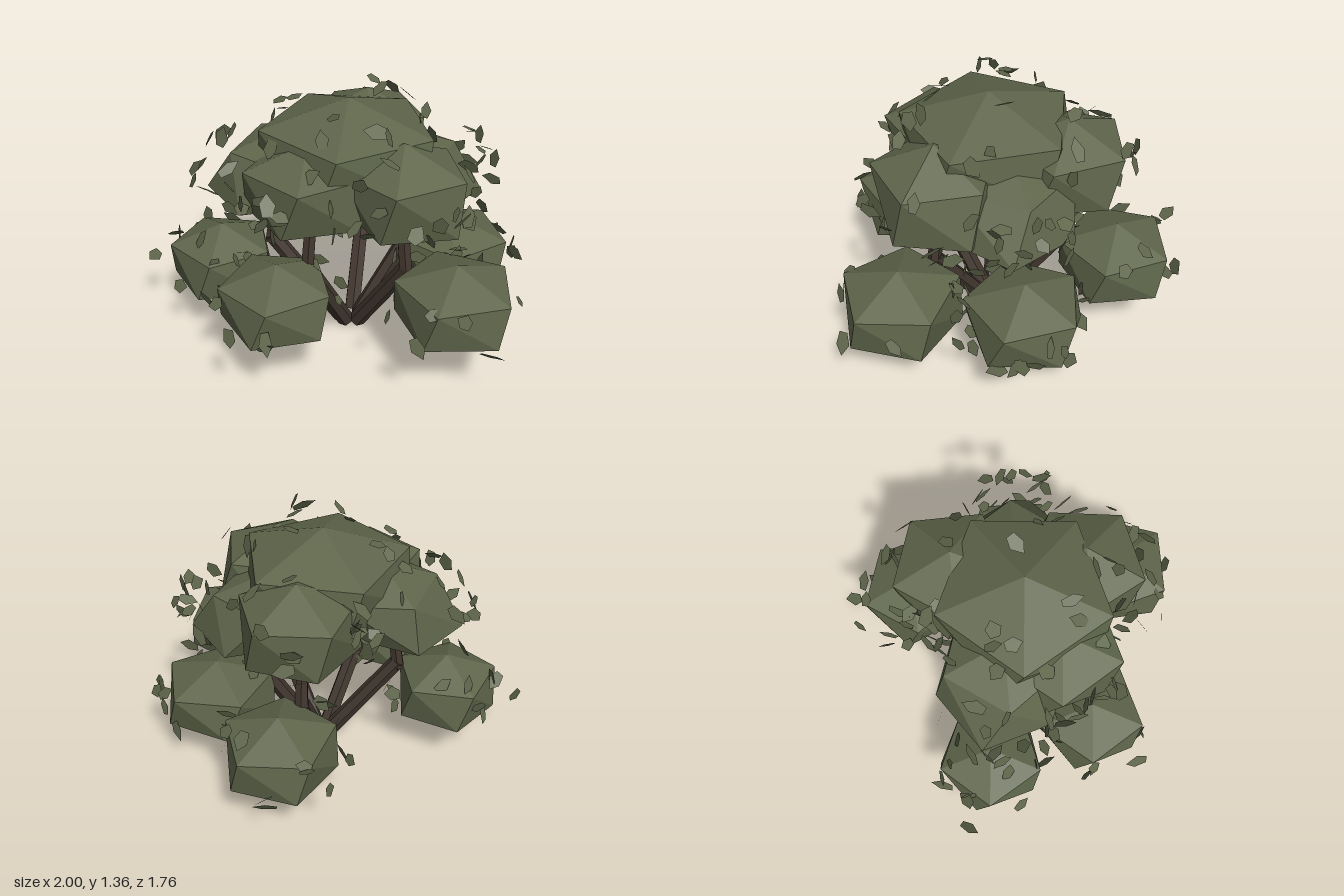
import * as THREE from 'three';

const foliage = new THREE.MeshStandardMaterial({ color: 0x5f664b, flatShading: true, side: THREE.DoubleSide });
foliage.name = 'olive foliage';
const bark = new THREE.MeshStandardMaterial({ color: 0x42372f, flatShading: true });
bark.name = 'dark bark';

// Small seeded generator for leaf placement
let seed = 71;
const rand = () => (seed = (seed * 16807) % 2147483647) / 2147483647;
const spread = (a) => (rand() * 2 - 1) * a;

// Clumps: centre, horizontal and vertical radius, upper ring angle and lower ring twist
// in degrees, and the x, z shift of the upper half
const lowClumps = [
  { c: [-0.59, 0.375, 0.06], r: 0.315, h: 0.21, rot: 97, twist: 16, lean: [0, 0] },
  { c: [-0.27, 0.435, 0.53], r: 0.325, h: 0.205, rot: 96, twist: 16, lean: [0, 0] },
  { c: [0.59, 0.44, 0.54], r: 0.345, h: 0.21, rot: 40, twist: 12, lean: [0, 0] },
  { c: [0.63, 0.375, -0.06], r: 0.345, h: 0.205, rot: -50, twist: 17, lean: [0, 0] },
  { c: [0.25, 0.41, -0.55], r: 0.335, h: 0.21, rot: -126, twist: 14, lean: [0, 0] },
];
const crownClumps = [
  { c: [-0.34, 0.915, 0.05], r: 0.36, h: 0.24, rot: -125, twist: 20, lean: [0.13, 0] },
  { c: [-0.12, 0.92, 0.28], r: 0.36, h: 0.25, rot: 96, twist: 16, lean: [0, 0.03] },
  { c: [0.36, 0.93, 0.33], r: 0.36, h: 0.26, rot: 27, twist: 18, lean: [-0.03, 0.02] },
  { c: [0.44, 0.89, 0.00], r: 0.36, h: 0.225, rot: -15, twist: 15, lean: [-0.13, 0] },
  { c: [0.17, 0.96, -0.27], r: 0.355, h: 0.25, rot: -126, twist: 14, lean: [0, -0.02] },
  { c: [0.07, 1.03, 0.09], r: 0.51, h: 0.28, rot: -119, twist: 12, lean: [0, 0] },
];
const allClumps = [...lowClumps, ...crownClumps];

// Five-sided faceted dome with two rings and pointed poles
function clumpMesh({ c, r, h, rot, twist, lean }, name) {
  const ring = (y, deg, [dx, dz]) => Array.from({ length: 5 }, (_, i) => {
    const a = THREE.MathUtils.degToRad(deg + i * 72);
    return [Math.cos(a) * r * 0.866 + dx, y * h, Math.sin(a) * r * 0.866 + dz];
  });
  const pts = [[lean[0], h, lean[1]], ...ring(0.5, rot, lean), ...ring(-0.5, rot + twist, [0, 0]), [0, -h, 0]];
  const index = [];
  for (let i = 0; i < 5; i++) {
    const a = 1 + i, b = 1 + (i + 1) % 5;
    index.push(0, b, a, a, b, a + 5, b, b + 5, a + 5, 11, a + 5, b + 5);
  }
  const geo = new THREE.BufferGeometry();
  geo.setAttribute('position', new THREE.Float32BufferAttribute(pts.flat(), 3));
  geo.setIndex(index);
  geo.computeVertexNormals();
  const mesh = new THREE.Mesh(geo, foliage);
  mesh.name = name;
  mesh.position.set(...c);
  return mesh;
}

// Irregular flat five-cornered leaf
const leafShape = new THREE.Shape([
  [-0.026, -0.042], [0.018, -0.046], [0.04, 0.004], [0.004, 0.06], [-0.034, 0.018],
].map(([x, y]) => new THREE.Vector2(x, y)));
const leafGeometry = new THREE.ShapeGeometry(leafShape);

function leafAt(position, outward) {
  const leaf = new THREE.Mesh(leafGeometry, foliage);
  leaf.name = 'leaf';
  leaf.position.copy(position);
  leaf.lookAt(position.clone().add(outward));
  leaf.rotateZ(rand() * Math.PI * 2);
  leaf.rotateX(spread(0.9));
  leaf.rotateY(spread(0.9));
  leaf.scale.set(0.7 + rand() * 0.4, 0.75 + rand() * 0.45, 1);
  return leaf;
}

// True where a point is buried inside some clump
const buried = (p) => allClumps.some(({ c, r, h }) =>
  Math.hypot((p.x - c[0]) / r, (p.y - c[1]) / h, (p.z - c[2]) / r) < 0.84);

// Leaves hovering on and just outside each clump
function looseLeaves({ c, r, h }, count) {
  const group = new THREE.Group();
  group.name = 'looseLeaves';
  for (let tries = 0; group.children.length < count && tries < 300; tries++) {
    const a = rand() * Math.PI * 2, up = -0.6 + rand() * 1.5;
    const flat = Math.sqrt(1 - up * up), k = 0.86 + rand() * 0.24;
    const dir = new THREE.Vector3(Math.cos(a) * flat, up, Math.sin(a) * flat);
    const p = new THREE.Vector3(dir.x * r * k + c[0], dir.y * h * k + c[1], dir.z * r * k + c[2]);
    if (!buried(p)) group.add(leafAt(p, dir));
  }
  return group;
}

// Tapered six-sided limb between two points
function limb(from, to, r0, r1, name) {
  const a = new THREE.Vector3(...from), b = new THREE.Vector3(...to);
  const dir = b.clone().sub(a);
  const mesh = new THREE.Mesh(new THREE.CylinderGeometry(r1, r0, dir.length(), 6), bark);
  mesh.name = name;
  mesh.position.copy(a).add(b).multiplyScalar(0.5);
  mesh.quaternion.setFromUnitVectors(new THREE.Vector3(0, 1, 0), dir.normalize());
  return mesh;
}

export function createModel() {
  const model = new THREE.Group();
  model.name = 'bushyTree';

  // Stems lean out from the base, then bend upright into the crown
  const bends = [[-0.33, 0.07], [-0.13, 0.38], [0.36, 0.38], [0.41, 0.00], [0.16, -0.32]];
  const stems = new THREE.Group();
  stems.name = 'stems';
  for (const [x, z] of bends) {
    const base = [0.09 + (x - 0.09) * 0.13, 0.025, 0.09 + (z - 0.09) * 0.13];
    const top = [x + (0.09 - x) * 0.14, 0.9, z + (0.09 - z) * 0.14];
    stems.add(limb(base, [x, 0.53, z], 0.045, 0.042, 'leaningStem'));
    stems.add(limb([x, 0.49, z], top, 0.036, 0.03, 'uprightStem'));
  }
  model.add(stems);

  // Foliage masses
  for (const clump of lowClumps) {
    model.add(clumpMesh(clump, 'lowFoliage'), looseLeaves(clump, 15));
  }
  for (const clump of crownClumps) {
    model.add(clumpMesh(clump, 'crownFoliage'), looseLeaves(clump, 13));
  }

  // Stray leaves at the outer edges
  const strays = [[-0.97, 0.36, 0.02], [0.97, 0.38, 0.0], [0.22, 1.33, 0.02], [-0.26, 1.3, 0.1],
    [0.09, 0.55, -0.84], [0.39, 0.4, 0.84], [-0.62, 1.07, 0.05], [0.74, 1.03, -0.1],
    [0.2, 1.25, -0.31], [0.25, 1.27, 0.46], [0.2, 0.95, -0.62], [0.1, 0.93, 0.68]];
  for (const s of strays) {
    const p = new THREE.Vector3(...s);
    model.add(leafAt(p, new THREE.Vector3(s[0] - 0.08, s[1] - 0.7, s[2] - 0.1)));
  }
  return model;
}
